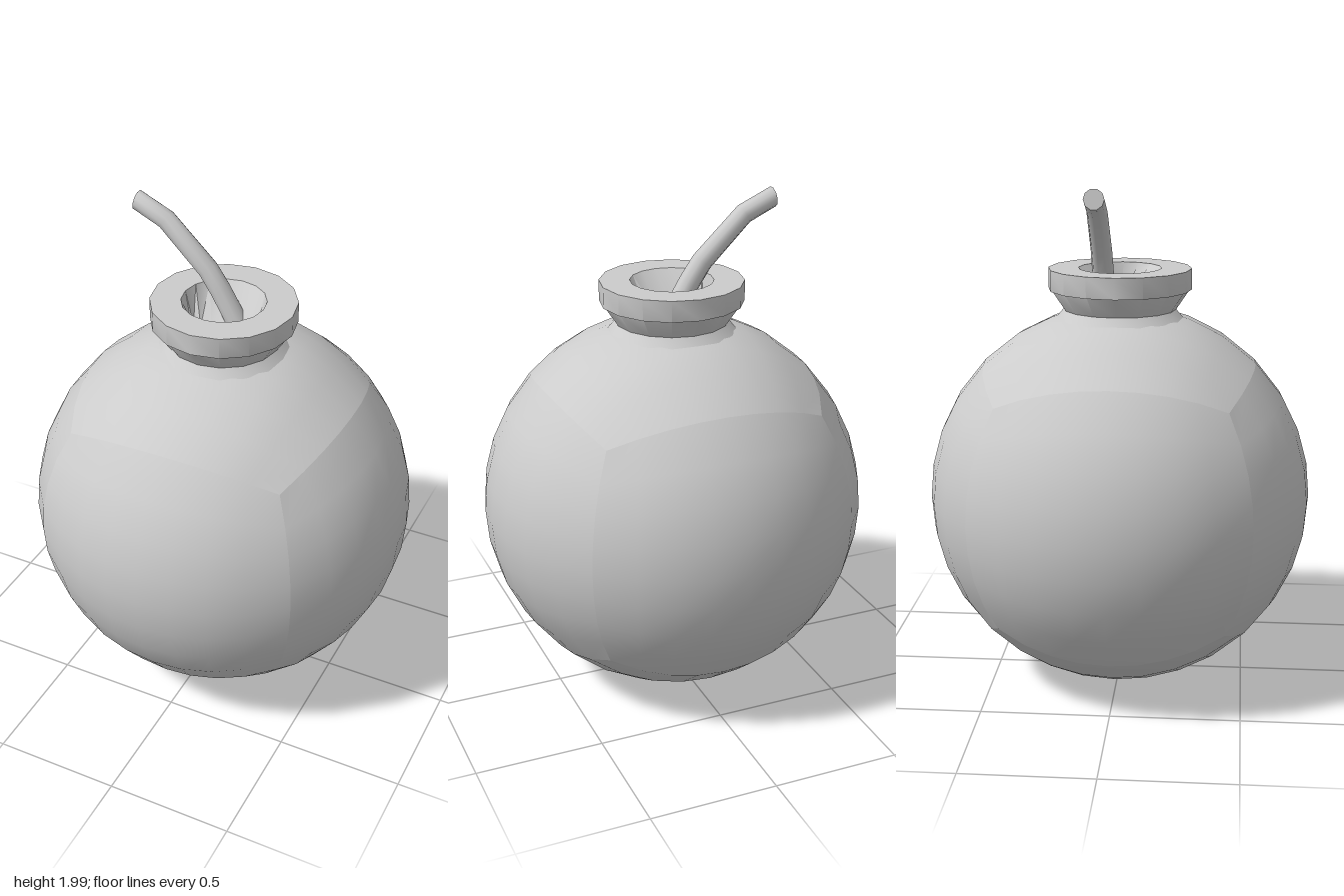
import * as THREE from 'three';
import { toCreasedNormals } from 'three/addons/utils/BufferGeometryUtils.js';

const material = new THREE.MeshStandardMaterial({ color: 0xcccccc });

function part(name, geometry) {
  const mesh = new THREE.Mesh(geometry, material);
  mesh.name = name;
  return mesh;
}

// Cube rounded into a ball; each of its six faces keeps its own normals
function ballGeometry(radius) {
  const geo = new THREE.BoxGeometry(2, 2, 2, 8, 8, 8);
  const pos = geo.attributes.position;
  const bulge = (a, b, c) =>
    a * Math.sqrt(1 - (b * b + c * c) / 2 + (b * b * c * c) / 3) * radius;
  for (let i = 0; i < pos.count; i++) {
    const x = pos.getX(i), y = pos.getY(i), z = pos.getZ(i);
    pos.setXYZ(i, bulge(x, y, z), bulge(y, z, x), bulge(z, x, y));
  }
  geo.computeVertexNormals();
  return geo;
}

// Flared neck with a flat rim; the hole narrows to a crease along x
function neckGeometry() {
  const floor = 1.52;
  const profile = [
    [0.25, 1.465], [0.22, 1.5], [0.272, 1.578], [0.28, 1.578],
    [0.28, 1.66], [0.162, 1.66], [0.14, floor],
  ].map(([r, y]) => new THREE.Vector2(r, y));
  const geo = new THREE.LatheGeometry(profile, 16);
  const pos = geo.attributes.position;
  for (let i = 0; i < pos.count; i++) {
    if (Math.abs(pos.getY(i) - floor) < 1e-4) pos.setZ(i, 0);
  }
  return toCreasedNormals(geo, 0.6);
}

// Bent fuse: each ring of a cylinder is moved and tilted along the path
function fuseGeometry() {
  // x, y, tilt in degrees, radius
  const rings = [
    [0.03, 1.53, 28, 0.043],
    [-0.045, 1.66, 31, 0.042],
    [-0.097, 1.737, 39, 0.041],
    [-0.27, 1.905, 56, 0.039],
    [-0.391, 1.96, 80, 0.039],
  ];
  const steps = rings.length - 1;
  const geo = new THREE.CylinderGeometry(1, 1, 1, 10, steps);
  const { position, normal } = geo.attributes;
  const axis = new THREE.Vector3(0, 0, 1);
  const p = new THREE.Vector3();
  const n = new THREE.Vector3();
  for (let i = 0; i < position.count; i++) {
    p.fromBufferAttribute(position, i);
    n.fromBufferAttribute(normal, i);
    const [x, y, tilt, r] = rings[Math.round((p.y + 0.5) * steps)];
    const angle = THREE.MathUtils.degToRad(tilt);
    p.set(p.x * r, 0, p.z * r).applyAxisAngle(axis, angle);
    n.applyAxisAngle(axis, angle);
    position.setXYZ(i, p.x + x, p.y + y, p.z - 0.063);
    normal.setXYZ(i, n.x, n.y, n.z);
  }
  return geo;
}

export function createModel() {
  const model = new THREE.Group();
  model.name = 'roundBomb';
  const body = part('body', ballGeometry(0.755));
  body.position.y = 0.757;
  model.add(body, part('neck', neckGeometry()), part('fuse', fuseGeometry()));
  return model;
}
